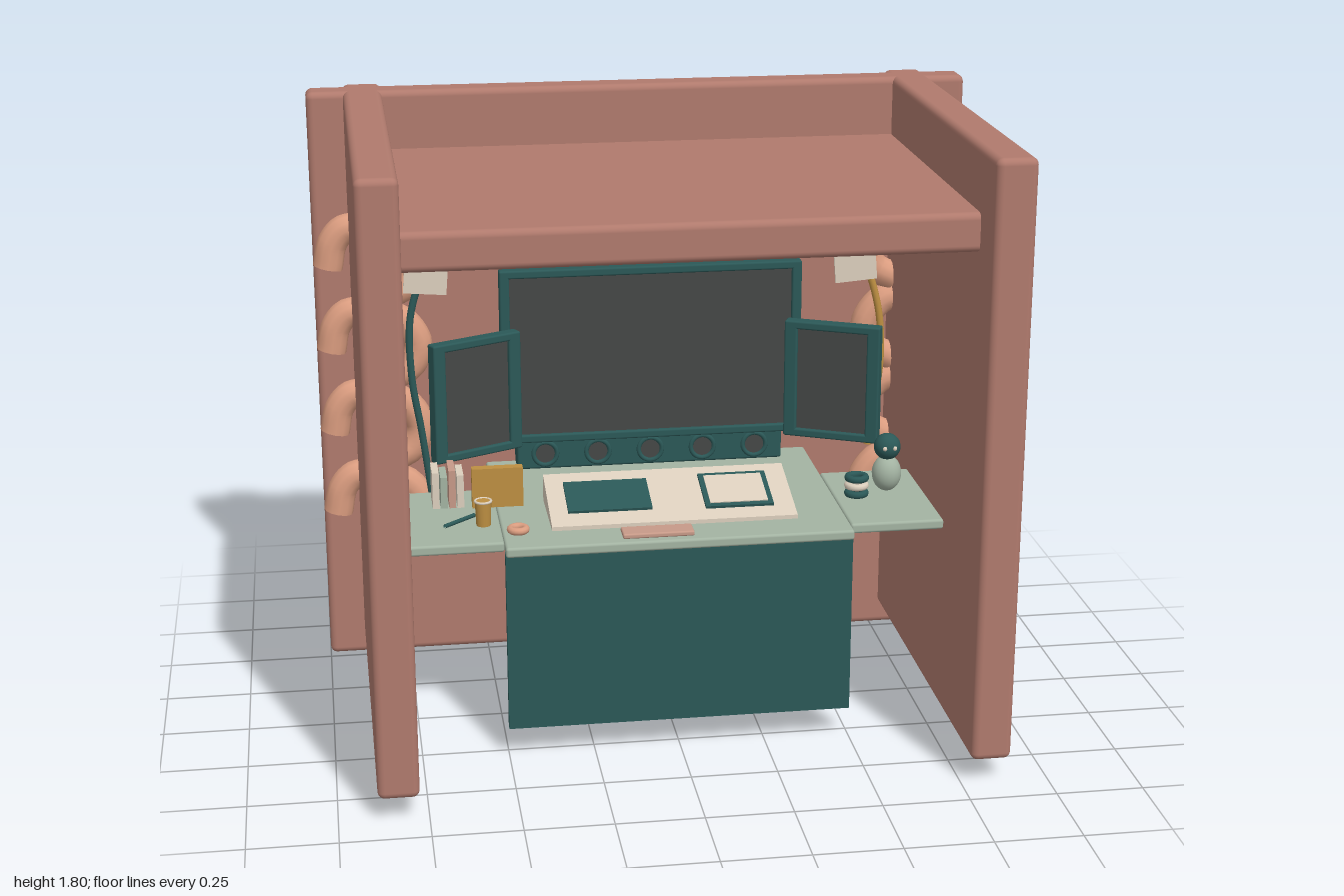
import * as THREE from 'three';
import { RoundedBoxGeometry } from 'three/addons/geometries/RoundedBoxGeometry.js';

const mat = (color) => new THREE.MeshStandardMaterial({ color, side: THREE.DoubleSide });
const M = {
  wall: mat(0xb07a6d), teal: mat(0x2b5857), screen: mat(0x454846), pipe: mat(0xdb9d80),
  desk: mat(0xa3b3a2), cream: mat(0xdccfbd), mustard: mat(0xbd8f42), pink: mat(0xc79a88),
};

export function createModel() {
  const root = new THREE.Group();
  const add = (name, geo, material, x = 0, y = 0, z = 0, parent = root) => {
    const m = new THREE.Mesh(geo, material);
    m.name = name;
    m.position.set(x, y, z);
    parent.add(m);
    return m;
  };
  // box from its min/max limits, with rounded edges when r > 0
  const slab = (name, material, [x0, x1], [y0, y1], [z0, z1], r = 0, parent = root) => {
    const s = [x1 - x0, y1 - y0, z1 - z0];
    const geo = r ? new RoundedBoxGeometry(...s, 3, r) : new THREE.BoxGeometry(...s);
    return add(name, geo, material, (x0 + x1) / 2, (y0 + y1) / 2, (z0 + z1) / 2, parent);
  };
  const tube = (name, material, pts, r, seg = 16) => add(name, new THREE.TubeGeometry(
    new THREE.CatmullRomCurve3(pts.map((p) => new THREE.Vector3(...p))), seg, r, 12), material);
  // tube with flat end discs
  const pipe = (name, pts) => {
    const t = tube(name, M.pipe, pts, 0.045);
    const path = t.geometry.parameters.path;
    for (const u of [0, 1]) {
      const cap = add(name + 'End', new THREE.CircleGeometry(0.045, 12), M.pipe);
      cap.position.copy(path.getPoint(u));
      cap.lookAt(cap.position.clone().addScaledVector(path.getTangent(u), u ? 1 : -1));
    }
  };

  // booth shell
  slab('backWall', M.wall, [-1, 1], [0, 1.8], [-0.62, -0.52], 0.02);
  slab('roof', M.wall, [-0.79, 0.79], [1.515, 1.625], [-0.66, 0.525], 0.02);
  for (const s of [-1, 1]) {
    const wall = slab('sideWall', M.wall, [-0.0575, 0.0575], [0.07, 1.8], [-0.66, 0.66], 0.02);
    wall.position.x = s * 0.833;
  }

  // pipes weaving through the side walls
  const pz = -0.477;
  for (const s of [-1, 1]) for (let i = 0; i < 4; i++) {
    const y = 0.5 + i * 0.26;
    pipe('outerElbow', [[s * 0.86, y + 0.12, pz], [s * 0.905, y + 0.115, pz],
      [s * 0.94, y + 0.075, pz], [s * 0.957, y, pz]]);
    pipe('innerBend', [[s * 0.82, y + 0.11, pz], [s * 0.745, y + 0.09, pz],
      [s * 0.695, y + 0.01, pz], [s * 0.72, y - 0.06, pz], [s * 0.785, y - 0.095, pz]]);
  }
  // pipe ends hanging from the roof in spreading pairs
  const hang = (x, d) => pipe('roofPipe', [[x, 1.55, pz], [x, 1.5, pz],
    [x + d * 0.01, 1.45, pz], [x + d * 0.035, 1.4, pz]]);
  for (const x of [-0.52, -0.27, -0.03, 0.25, 0.5]) {
    hang(x - 0.05, -1);
    hang(x + 0.05, 1);
  }
  hang(-0.74, 1);
  hang(0.74, -1);

  // desk
  slab('deskTop', M.desk, [-0.5, 0.5], [0.625, 0.655], [-0.43, 0.32], 0.008);
  for (const s of [-1, 1]) {
    const wing = slab('deskWing', M.desk, [-0.137, 0.137], [0.625, 0.655], [-0.18, 0.27], 0.008);
    wing.position.x = s * 0.637;
  }
  slab('deskFrontPanel', M.teal, [-0.5, 0.5], [0.09, 0.628], [0.275, 0.3]);

  // framed monitors
  const monitor = (name, w, h, f) => {
    const g = new THREE.Group();
    g.name = name;
    root.add(g);
    slab('screen', M.screen, [-w / 2 + 0.01, w / 2 - 0.01], [0.01, h - 0.01], [-0.02, 0.008], 0, g);
    for (const s of [-1, 1])
      slab('framePost', M.teal, [-f / 2, f / 2], [0, h], [-0.02, 0.02], 0.006, g).position.x = s * (w - f) / 2;
    for (const y of [0, h - 0.025])
      slab('frameRail', M.teal, [-w / 2, w / 2], [y, y + 0.025], [-0.02, 0.02], 0.006, g);
    return g;
  };
  monitor('centerMonitor', 0.915, 0.54, 0.03).position.set(0, 0.755, -0.31);
  for (const s of [-1, 1]) {
    const g = monitor('sideMonitor', 0.295, 0.365, 0.04);
    g.position.set(s * 0.54, 0.755, -0.21);
    g.rotation.y = -s * 0.45;
  }

  // speaker bar with rings
  slab('speakerBar', M.teal, [-0.41, 0.41], [0.655, 0.755], [-0.42, -0.335], 0.008);
  for (let i = -2; i <= 2; i++) {
    add('speakerRing', new THREE.TorusGeometry(0.036, 0.007, 8, 24), M.teal, i * 0.162, 0.705, -0.333);
    add('speakerCone', new THREE.CircleGeometry(0.03, 24), M.screen, i * 0.162, 0.705, -0.333);
  }

  // sloped console: wedge side profile extruded across the desk
  const side = new THREE.Shape([[-0.2, 0], [0.06, 0], [0.06, 0.08], [-0.2, 0.012]]
    .map((p) => new THREE.Vector2(...p)));
  const wedge = new THREE.ExtrudeGeometry(side, { depth: 0.715, bevelEnabled: false });
  wedge.rotateY(Math.PI / 2);
  add('console', wedge, M.cream, -0.358, 0.655, 0);
  const deck = new THREE.Group();
  deck.name = 'consoleControls';
  deck.position.set(0, 0.703, 0.07);
  deck.rotation.x = Math.atan2(0.068, 0.26);
  root.add(deck);
  slab('touchPad', M.teal, [-0.305, -0.06], [0, 0.008], [-0.075, 0.075], 0, deck);
  slab('padBorder', M.teal, [0.095, 0.295], [0, 0.008], [-0.085, 0.085], 0, deck);
  slab('padSurface', M.cream, [0.11, 0.28], [0.002, 0.011], [-0.07, 0.07], 0, deck);
  slab('wristRest', M.pink, [-0.165, 0.04], [0.655, 0.67], [0.23, 0.295], 0.005);

  // small desk items on the left
  [[M.cream, 0.11], [M.desk, 0.095], [M.pink, 0.115], [M.cream, 0.1]].forEach(([m, h], i) => {
    slab('book', m, [-0.685 + i * 0.024, -0.665 + i * 0.024], [0.655, 0.655 + h], [-0.13, -0.03]);
  });
  slab('mustardBox', M.mustard, [-0.57, -0.42], [0.655, 0.775], [-0.05, -0.02]);
  add('cup', new THREE.CylinderGeometry(0.024, 0.021, 0.075, 16), M.mustard, -0.548, 0.692, 0.12);
  add('cupRim', new THREE.TorusGeometry(0.023, 0.004, 8, 16), M.cream, -0.548, 0.728, 0.12).rotation.x = Math.PI / 2;
  add('ringSnack', new THREE.TorusGeometry(0.022, 0.011, 10, 20), M.pipe, -0.455, 0.667, 0.2).rotation.x = Math.PI / 2;
  tube('pen', M.teal, [[-0.66, 0.66, 0.13], [-0.57, 0.66, 0.05]], 0.006, 2);

  // small desk items on the right
  for (let i = 0; i < 3; i++)
    add('stackedRing', new THREE.TorusGeometry(0.026, 0.011, 8, 20), i === 1 ? M.cream : M.teal,
      0.563, 0.67 + i * 0.024, 0.05).rotation.x = Math.PI / 2;
  add('figureBody', new THREE.SphereGeometry(0.044, 20, 14), M.desk, 0.665, 0.71, 0).scale.y = 1.25;
  add('figureHead', new THREE.SphereGeometry(0.04, 20, 14), M.teal, 0.665, 0.793, 0);
  for (const s of [-1, 1])
    add('figureEye', new THREE.SphereGeometry(0.007, 8, 6), M.cream, 0.665 + s * 0.015, 0.797, 0.036);

  // cables along the back wall
  tube('tealCable', M.teal, [[-0.43, 1.34, -0.47], [-0.56, 1.335, -0.45], [-0.66, 1.28, -0.42], [-0.715, 1.15, -0.41],
    [-0.72, 0.95, -0.41], [-0.695, 0.77, -0.41], [-0.67, 0.57, -0.41]], 0.011, 40);
  tube('mustardCable', M.mustard, [[0.42, 1.41, -0.42], [0.55, 1.38, -0.41], [0.66, 1.28, -0.41], [0.72, 1.12, -0.41],
    [0.735, 0.95, -0.41], [0.72, 0.8, -0.41], [0.7, 0.66, -0.41]], 0.011, 40);

  // taped paper notes
  for (const [x, y, a] of [[-0.67, 1.25, -0.08], [-0.255, 1.36, -0.1], [0.645, 1.24, 0.08]]) {
    const note = new THREE.Group();
    note.name = 'note';
    note.position.set(x, y, -0.395);
    note.rotation.z = a;
    root.add(note);
    add('paper', new THREE.BoxGeometry(0.13, 0.085, 0.008), M.cream, 0, 0, 0, note);
    add('tape', new THREE.BoxGeometry(0.025, 0.025, 0.006), M.mustard, 0, 0.048, 0, note);
  }
  return root;
}
